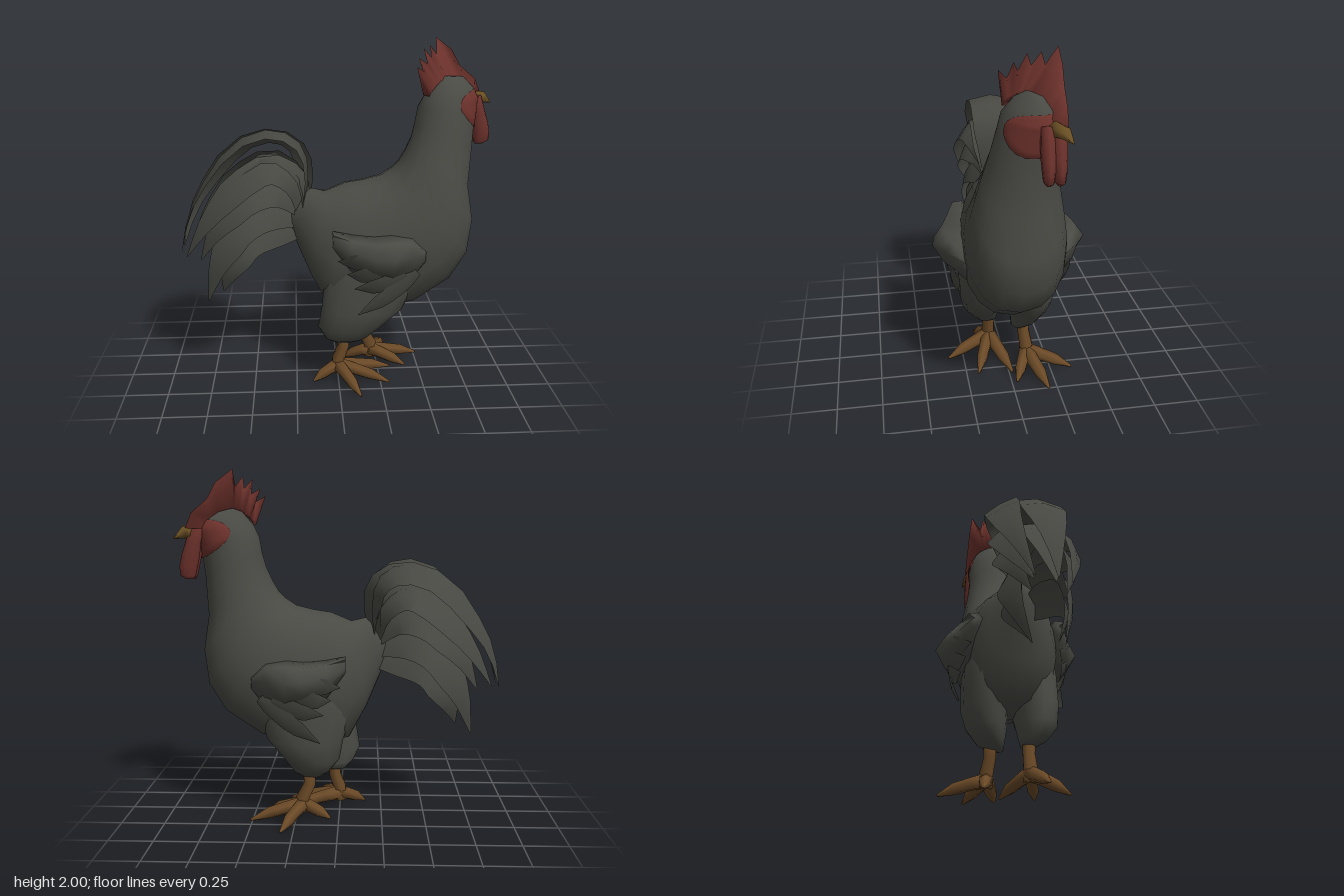
import * as THREE from 'three';

const V = (x, y, z) => new THREE.Vector3(x, y, z);
const mat = (name, color, side = THREE.FrontSide) => {
  const m = new THREE.MeshStandardMaterial({ color, side });
  m.name = name;
  return m;
};
// Points around a full turn
const around = (n, f) => Array.from({ length: n }, (_, j) => f(j / n * Math.PI * 2));

// Skin a list of rings (or open rows); closed lofts are capped and turned outward
function loft(rings, closed = true) {
  const n = rings[0].length, pts = rings.flat(), idx = [];
  for (let i = 0; i < rings.length - 1; i++) {
    for (let j = 0; j < (closed ? n : n - 1); j++) {
      const k = (j + 1) % n, a = i * n + j, b = i * n + k, c = a + n, d = b + n;
      idx.push(a, b, d, a, d, c);
    }
  }
  if (closed) {
    [0, rings.length - 1].forEach((r) => {
      const c = pts.length;
      pts.push(rings[r].reduce((s, p) => s.add(p), V(0, 0, 0)).divideScalar(n));
      for (let j = 0; j < n; j++) {
        const a = r * n + j, b = r * n + (j + 1) % n;
        idx.push(...(r === 0 ? [c, b, a] : [c, a, b]));
      }
    });
    let vol = 0;
    for (let i = 0; i < idx.length; i += 3) {
      vol += pts[idx[i]].dot(V(0, 0, 0).crossVectors(pts[idx[i + 1]], pts[idx[i + 2]]));
    }
    if (vol < 0) idx.reverse();
  }
  const g = new THREE.BufferGeometry().setFromPoints(pts);
  g.setIndex(idx);
  g.computeVertexNormals();
  return g;
}

// Tapered limb through points [x, y, z, radius]
function limb(pts, sides = 7) {
  const ps = pts.map((p) => V(p[0], p[1], p[2]));
  return loft(ps.map((p, i) => {
    const t = ps[Math.min(i + 1, ps.length - 1)].clone().sub(ps[Math.max(i - 1, 0)]).normalize();
    const u = V(0, 0, 1).cross(t).normalize(), v = t.clone().cross(u);
    return around(sides, (a) => p.clone().addScaledVector(u, Math.cos(a) * pts[i][3])
      .addScaledVector(v, Math.sin(a) * pts[i][3]));
  }));
}

// Curved, cambered blade; tilt leans its upper edge across z
function feather(path, width, tilt, camber = 0.25, steps = 9) {
  const curve = new THREE.CatmullRomCurve3(path);
  const rows = [];
  for (let i = 0; i <= steps; i++) {
    const t = i / steps, p = curve.getPoint(t), d = curve.getTangent(t);
    const up = V(d.y, -d.x, 0).normalize();
    const across = up.clone().multiplyScalar(Math.cos(tilt)).add(V(0, 0, -Math.sin(tilt)));
    const out = up.clone().multiplyScalar(Math.sin(tilt)).add(V(0, 0, Math.cos(tilt)));
    const w = width * Math.min(1, 0.6 + t * 2) * Math.min(1, (1 - t) * 2.6 + 0.03);
    rows.push([-1, 0, 1].map((s) =>
      p.clone().addScaledVector(across, s * w).addScaledVector(out, s === 0 ? camber * w : 0)));
  }
  return loft(rows, false);
}

// Body, neck and head: back x, y, front x, y, half width, z centre, turn
const sections = [
  [-0.27, 1.10, -0.26, 0.90, 0.06, 0, 0], [-0.15, 1.17, -0.23, 0.82, 0.10, 0, 0],
  [-0.07, 1.15, -0.16, 0.65, 0.18, 0, 0], [0.05, 1.20, -0.06, 0.46, 0.24, 0, 0],
  [0.15, 1.215, 0.15, 0.42, 0.27, 0, 0], [0.25, 1.24, 0.45, 0.48, 0.28, 0, 0],
  [0.31, 1.28, 0.66, 0.62, 0.275, 0, 0], [0.35, 1.32, 0.76, 0.78, 0.255, 0, 0],
  [0.385, 1.38, 0.785, 0.98, 0.23, 0, 0], [0.42, 1.46, 0.755, 1.18, 0.2, -0.005, 0],
  [0.44, 1.54, 0.77, 1.42, 0.168, -0.015, 0.04], [0.455, 1.63, 0.785, 1.58, 0.15, -0.03, -0.06],
  [0.49, 1.70, 0.80, 1.67, 0.13, -0.035, -0.2], [0.55, 1.77, 0.78, 1.73, 0.09, -0.045, -0.25],
  [0.60, 1.80, 0.72, 1.79, 0.03, -0.05, -0.25],
];

// Point on the body skin: section number (may be fractional), angle from the front, swelling
function skin(t, angle, swell = 1) {
  const i = Math.min(Math.floor(t), sections.length - 2);
  const [ax, ay, bx, by, w, cz, turn] = sections[i].map((v, k) => v + (sections[i + 1][k] - v) * (t - i));
  const c = Math.cos(angle) / 2 * swell, s = Math.sin(angle);
  return V((ax + bx) / 2 + c * (bx - ax), (ay + by) / 2 + c * (by - ay),
    cz + Math.sign(s) * Math.abs(s) ** (t < 9 ? 0.85 : 1) * w * swell + turn * c * (bx - ax));
}

export function createModel() {
  const root = new THREE.Group();
  root.name = 'rooster';
  const plumage = mat('plumage', 0x4a4a45);
  const feathers = mat('feathers', 0x484843, THREE.DoubleSide);
  const red = mat('comb red', 0x6c312b);
  const horn = mat('leg brown', 0x6b4a27);
  const beakMat = mat('beak brown', 0x6b5024);
  const add = (name, geo, m, parent = root) => {
    const mesh = new THREE.Mesh(geo, m);
    mesh.name = name;
    parent.add(mesh);
    return mesh;
  };

  add('body', loft(sections.map((_, i) => around(18, (a) => skin(i, a)))), plumage);

  // Bare face hugging the front and both cheeks of the head
  add('face', loft([[1, 0.94], [0.97, 1.035], [0.8, 1.04], [0.6, 1.04], [0.4, 1.04], [0.2, 1.04], [0.03, 1.04]].map(([r, swell]) =>
    around(28, (a) => skin(11.75 + Math.sin(a) * r * 1.2,
      -0.25 + Math.sign(Math.cos(a)) * Math.abs(Math.cos(a)) ** 0.8 * r * 1.6, swell)))), red);

  // Thighs: y, x centre, x radius, z centre, z radius; the right one stands further forward
  const thigh = [[0.24, 0.035, 0.07, 0.08, 0.045], [0.28, 0.045, 0.125, 0.11, 0.08],
    [0.36, 0.065, 0.185, 0.135, 0.115], [0.48, 0.14, 0.24, 0.142, 0.132],
    [0.66, 0.19, 0.27, 0.135, 0.14], [0.82, 0.2, 0.23, 0.12, 0.14], [0.95, 0.2, 0.12, 0.1, 0.1]];
  [1, -1].forEach((s) => {
    add(s > 0 ? 'leftThigh' : 'rightThigh', loft(thigh.map(([y, cx, rx, cz, rz]) => {
      const fwd = s < 0 ? Math.max(0, 0.66 - y) * 0.3 : 0;
      return around(14, (a) => V(cx + fwd + Math.cos(a) * rx * (1 - fwd * 1.6), y, s * cz + Math.sin(a) * rz));
    })), plumage);
  });

  // Legs and toes
  const feet = [
    { name: 'left', hip: [0.03, 0.3, 0.08], ankle: [0.0, 0.08, 0.08],
      tips: [[0.32, -0.02], [0.3, 0.18], [0.12, 0.34], [-0.15, 0.15]] },
    { name: 'right', hip: [0.17, 0.3, -0.11], ankle: [0.21, 0.08, -0.12],
      tips: [[0.42, -0.03], [0.51, -0.2], [0.32, -0.375], [0.05, -0.16]] },
  ];
  feet.forEach(({ name, hip, ankle, tips }) => {
    const g = new THREE.Group();
    g.name = name + 'Leg';
    root.add(g);
    add('shank', limb([[...hip, 0.04], [hip[0], 0.2, hip[2], 0.036],
      [ankle[0], 0.12, ankle[2], 0.04], [ankle[0], 0.04, ankle[2], 0.04]]), horn, g);
    tips.forEach(([x, z]) => {
      const at = (t) => [ankle[0] + (x - ankle[0]) * t, ankle[2] + (z - ankle[2]) * t];
      const [ax, az] = at(0.3), [bx, bz] = at(0.65);
      add('toe', limb([[...ankle, 0.045], [ax, 0.066, az, 0.038], [bx, 0.042, bz, 0.034], [x, 0.008, z, 0.007]], 6), horn, g);
    });
  });

  // Wings: x, top y, bottom y, outer z
  const wing = [[0.48, 0.87, 0.79, 0.27], [0.4, 0.95, 0.69, 0.36], [0.29, 0.965, 0.65, 0.425],
    [0.19, 0.955, 0.68, 0.415], [0.06, 0.96, 0.75, 0.33], [-0.04, 0.98, 0.89, 0.25]];
  const quills = [[[0.43, 0.76, 0.31], [0.27, 0.62, 0.31], [0.1, 0.5, 0.3]],
    [[0.36, 0.76, 0.33], [0.22, 0.69, 0.33], [0.08, 0.66, 0.3]],
    [[0.3, 0.82, 0.35], [0.15, 0.75, 0.33], [0.04, 0.74, 0.28]],
    [[0.24, 0.88, 0.36], [0.1, 0.83, 0.33], [-0.01, 0.81, 0.26]]];
  [1, -1].forEach((s) => {
    const g = new THREE.Group();
    g.name = s > 0 ? 'leftWing' : 'rightWing';
    g.scale.z = s;
    root.add(g);
    add('wingShoulder', loft(wing.map(([x, t, b, z]) => {
      const h = t - b, m = (z + 0.25) / 2;
      return [V(x, t, 0.23), V(x, t - h * 0.06, m + 0.03), V(x, t - h * 0.32, z),
        V(x, t - h * 0.65, m + 0.03), V(x, b, 0.25), V(x, t - h / 2, 0.18)];
    })), plumage, g);
    quills.forEach((q) => add('wingFeather', feather(q.map((p) => V(...p)), 0.055, -0.35, 0.2, 6), feathers, g));
  });

  // Tail: arcs in side view, fanned into a middle and two side sprays
  const arcs = [
    [[-0.2, 1.08], [-0.19, 1.28], [-0.24, 1.39], [-0.37, 1.44], [-0.56, 1.38], [-0.74, 1.18], [-0.85, 1.0], [-0.91, 0.79]],
    [[-0.2, 1.06], [-0.24, 1.22], [-0.38, 1.31], [-0.58, 1.2], [-0.75, 1.0], [-0.87, 0.79]],
    [[-0.2, 1.05], [-0.33, 1.17], [-0.5, 1.15], [-0.68, 0.98], [-0.79, 0.77]],
    [[-0.2, 1.0], [-0.38, 1.04], [-0.55, 0.97], [-0.68, 0.77], [-0.76, 0.51]],
    [[-0.18, 0.95], [-0.38, 0.93], [-0.53, 0.87], [-0.62, 0.72], [-0.67, 0.57]],
  ];
  const tail = new THREE.Group();
  tail.name = 'tail';
  root.add(tail);
  const sprays = [
    { spread: 0, tilt: Math.PI / 2, use: [0, 1], lift: 0.045, width: 0.13 },
    { spread: -0.215, tilt: -0.95, use: [0, 1, 2, 3, 4], lift: 0, width: 0.1 },
    { spread: 0.155, tilt: 0.95, use: [1, 2, 3, 4], lift: 0, width: 0.1 },
  ];
  sprays.forEach(({ spread, tilt, use, lift, width }) => use.forEach((k) => {
    const last = arcs[k].length - 1;
    const path = arcs[k].map(([x, y], i) => {
      const t = i / last, side = 0.15 + 0.85 * Math.sin(Math.PI * t ** 1.25 * 0.85);
      return V(x, y + lift * Math.sin(Math.PI * t), spread * side * (1 - k * 0.06));
    });
    const roll = spread ? tilt * (1 - k * 0.17) : tilt;
    add('tailFeather', feather(path, width, roll, spread < 0 ? -0.1 : 0.2, 11), feathers, tail);
  }));

  // Comb: spiked crest leaning to the right; upper x, y, z then lower x, y, z
  const crest = [
    [0.47, 1.76, 0.08, 0.49, 1.70, 0.05], [0.43, 1.86, 0.085, 0.50, 1.72, 0.045],
    [0.48, 1.83, 0.05, 0.52, 1.74, 0.035], [0.45, 1.90, 0.01, 0.53, 1.75, 0.02],
    [0.50, 1.87, 0, 0.55, 1.765, 0.005], [0.485, 1.95, -0.05, 0.56, 1.775, -0.01],
    [0.53, 1.90, -0.06, 0.58, 1.78, -0.025], [0.53, 1.965, -0.11, 0.59, 1.785, -0.04],
    [0.57, 1.91, -0.12, 0.60, 1.79, -0.05], [0.575, 2.0, -0.18, 0.63, 1.785, -0.07],
    [0.67, 1.93, -0.18, 0.68, 1.77, -0.09], [0.72, 1.84, -0.18, 0.72, 1.74, -0.11],
    [0.81, 1.765, -0.175, 0.76, 1.69, -0.12], [0.85, 1.67, -0.175, 0.78, 1.62, -0.13],
  ];
  add('comb', loft(crest.map(([x, y, z, lx, ly, lz]) =>
    [V(x, y, z), V(lx + 0.012, ly, lz + 0.028), V(lx - 0.012, ly, lz - 0.028)])), red);

  // Wattles hanging from the face: y, x centre, x radius, z radius
  const wattle = [[1.68, 0.79, 0.04, 0.034], [1.6, 0.81, 0.045, 0.038], [1.53, 0.825, 0.052, 0.037],
    [1.47, 0.838, 0.052, 0.032], [1.42, 0.842, 0.044, 0.026], [1.4, 0.83, 0.022, 0.012]];
  [-0.088, -0.142].forEach((cz, i) => add(i ? 'rightWattle' : 'leftWattle',
    loft(wattle.map(([y, cx, rx, rz]) => around(10, (a) => V(cx + Math.cos(a) * rx, y, cz + Math.sin(a) * rz)))), red));

  // Beak
  add('beak', limb([[0.79, 1.655, -0.125, 0.045], [0.855, 1.66, -0.155, 0.034], [0.908, 1.625, -0.185, 0.003]], 6), beakMat);
  return root;
}
